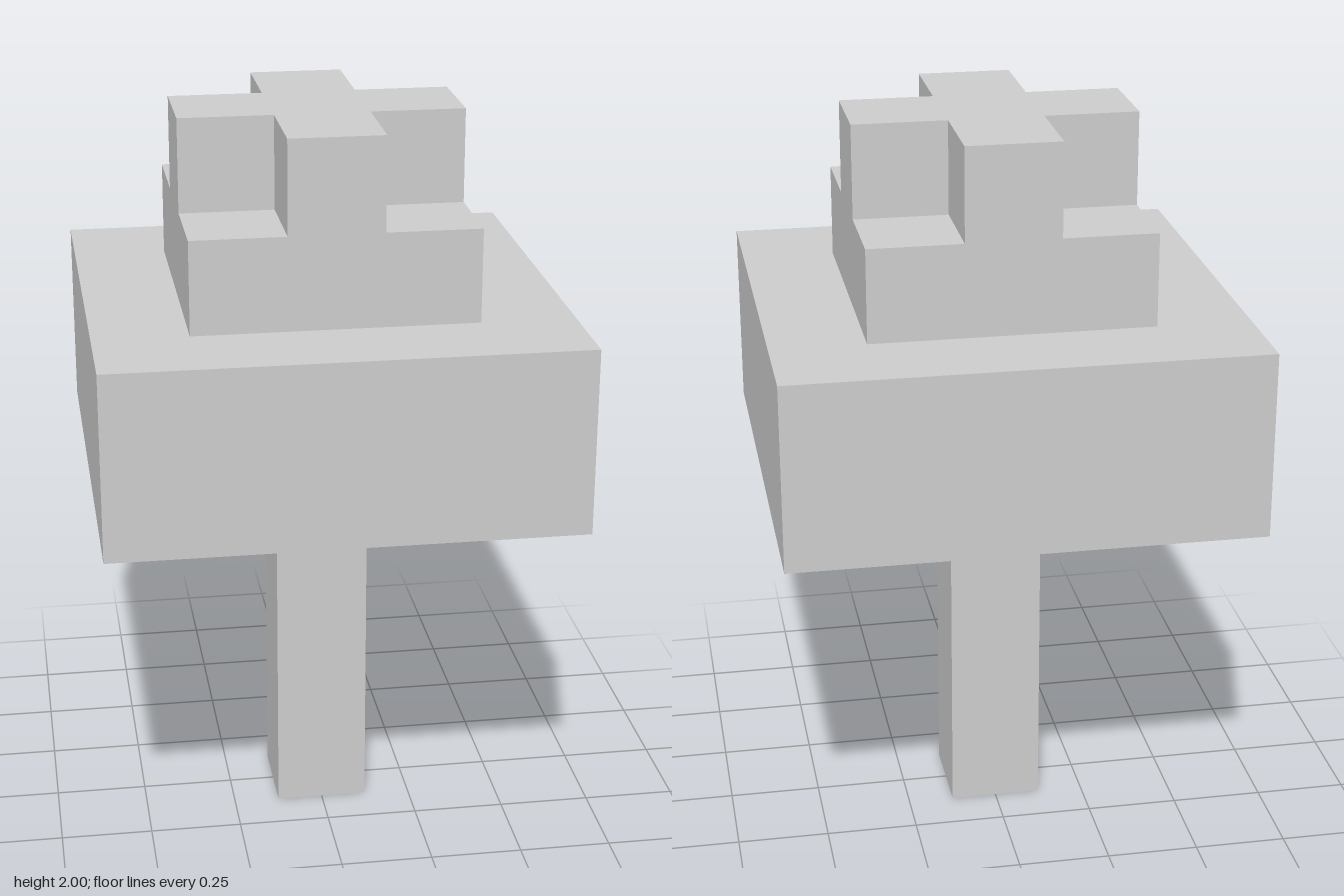
import * as THREE from 'three';

export function createModel() {
  const model = new THREE.Group();
  const material = new THREE.MeshStandardMaterial({ color: 0xcccccc, flatShading: true });
  const openMaterial = material.clone();
  openMaterial.side = THREE.DoubleSide;

  const add = (name, geometry, y, mat = material) => {
    const mesh = new THREE.Mesh(geometry, mat);
    mesh.name = name;
    mesh.position.y = y;
    model.add(mesh);
  };

  // Square trunk, hollow and open at the bottom
  const radius = 0.125 * Math.SQRT2;
  add('trunk', new THREE.CylinderGeometry(radius, radius, 1, 4, 1, true, Math.PI / 4), 0.5, openMaterial);

  // Stacked foliage blocks
  add('lowerFoliage', new THREE.BoxGeometry(1.25, 0.5, 1.25), 1.25);
  add('upperFoliage', new THREE.BoxGeometry(0.75, 0.25, 0.75), 1.625);

  // Cross-shaped crown: one arm's corners, turned four times
  const a = 0.125, b = 0.375;
  const points = [];
  for (let i = 0; i < 4; i++) {
    for (const [x, y] of [[b, -a], [b, a], [a, a]]) {
      points.push(new THREE.Vector2(x, y).rotateAround(new THREE.Vector2(), i * Math.PI / 2));
    }
  }
  const crown = new THREE.ExtrudeGeometry(new THREE.Shape(points), { depth: 0.25, bevelEnabled: false });
  crown.rotateX(-Math.PI / 2);
  add('crown', crown, 1.75);

  return model;
}
